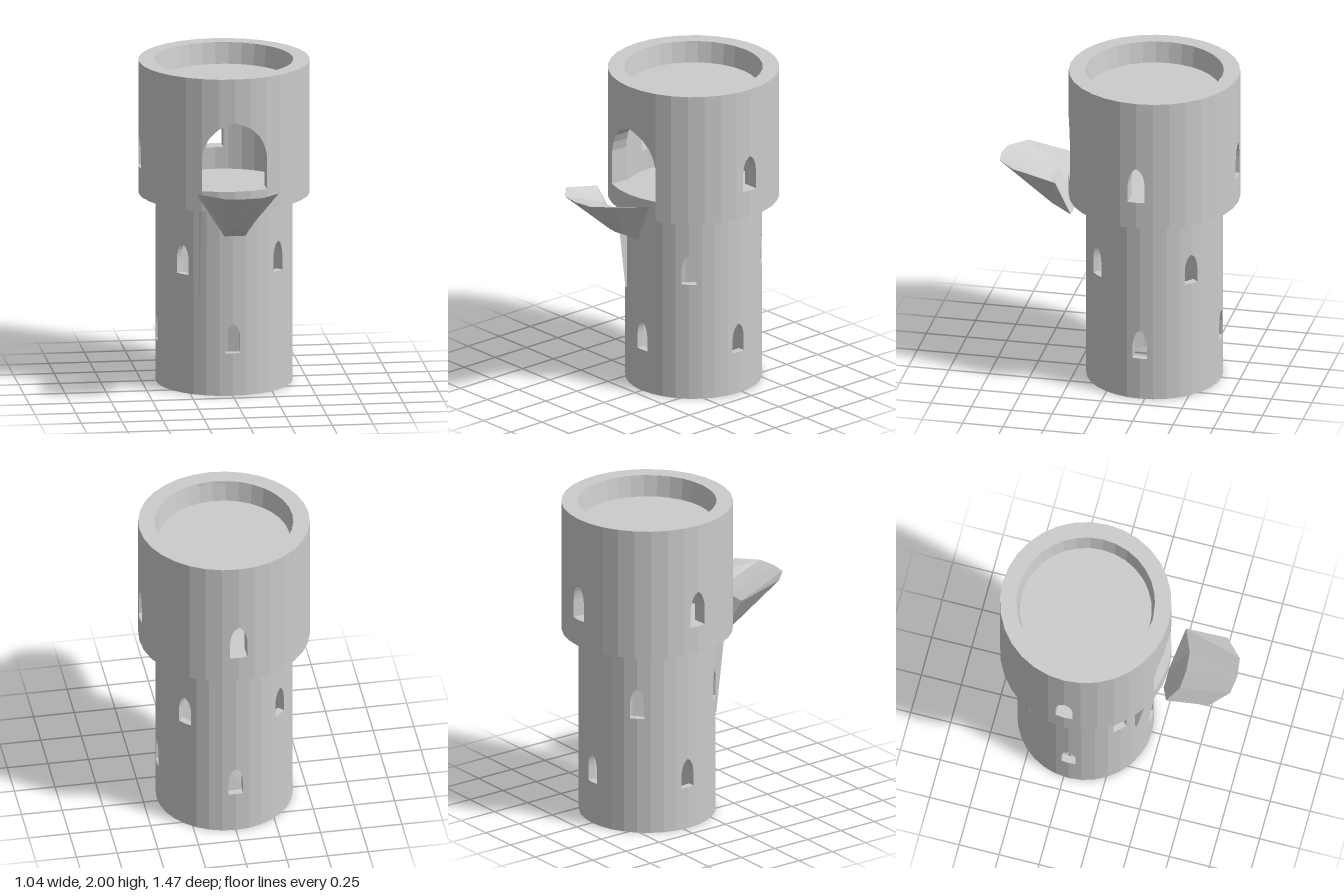
import * as THREE from 'three';

const SIDES = 32, STEP = (Math.PI * 2) / SIDES, CZ = -0.22;
const DEG = Math.PI / 180;
const material = new THREE.MeshStandardMaterial({ color: 0xcccccc, flatShading: true });
const thinMaterial = new THREE.MeshStandardMaterial({ color: 0xcccccc, flatShading: true, side: THREE.DoubleSide });

// Pointed arch: [fraction of half width, fraction of height], from jamb to apex
const ARCH = [[1, 0.5], [0.92, 0.64], [0.78, 0.77], [0.5, 0.9], [0, 1]];

// Collects polygons (corners counter-clockwise from outside) into one mesh
function polygonMesh(name, polygons, mat = material) {
  const pos = [];
  for (const p of polygons) {
    for (let i = 1; i < p.length - 1; i++) pos.push(...p[0], ...p[i], ...p[i + 1]);
  }
  const geo = new THREE.BufferGeometry();
  geo.setAttribute('position', new THREE.Float32BufferAttribute(pos, 3));
  geo.computeVertexNormals();
  const mesh = new THREE.Mesh(geo, mat);
  mesh.name = name;
  return mesh;
}

// Point on a faceted ring of radius r
function ringPoint(a, r, y) {
  const mid = (Math.floor(a / STEP + 1e-6) + 0.5) * STEP;
  const d = r * Math.cos(STEP / 2) / Math.cos(a - mid);
  return [d * Math.sin(a), y, d * Math.cos(a) + CZ];
}

// Hollow faceted wall with arched openings cut straight through
// openings: { angle (degrees), half (half width), lo, hi }
function wall(name, rOut, rIn, y0, y1, openings) {
  const stops = [];
  for (const o of openings) {
    const c = o.angle * DEG;
    const add = (s, f, h) => stops.push({
      out: c + s * Math.asin(f * o.half / rOut),
      inn: c + s * Math.asin(f * o.half / rIn),
      lo: o.lo, hi: o.lo + (o.hi - o.lo) * h, o,
    });
    ARCH.forEach(([f, h]) => { add(-1, f, h); if (f > 0) add(1, f, h); });
  }
  for (let k = 3; k <= SIDES + 3; k++) {
    const a = k * STEP;
    const covered = openings.some(o => Math.abs(a - o.angle * DEG) < Math.asin(o.half / rOut) + 1e-3);
    if (!covered) stops.push({ out: a, inn: a });
  }
  stops.sort((p, q) => p.out - q.out);

  const faces = [];
  const O = (s, y) => ringPoint(s.out, rOut, y), I = (s, y) => ringPoint(s.inn, rIn, y);
  const skin = (p, q, pl, ql, ph, qh) => {
    faces.push([O(p, pl), O(q, ql), O(q, qh), O(p, ph)]);
    faces.push([I(q, ql), I(p, pl), I(p, ph), I(q, qh)]);
  };
  for (let i = 0; i < stops.length - 1; i++) {
    const p = stops[i], q = stops[i + 1];
    faces.push([O(p, y1), O(q, y1), I(q, y1), I(p, y1)]);
    faces.push([I(p, y0), I(q, y0), O(q, y0), O(p, y0)]);
    if (p.o && p.o === q.o) {
      skin(p, q, y0, y0, p.lo, q.lo);
      skin(p, q, p.hi, q.hi, y1, y1);
      faces.push([O(p, p.lo), O(q, q.lo), I(q, q.lo), I(p, p.lo)]); // sill
      faces.push([I(p, p.hi), I(q, q.hi), O(q, q.hi), O(p, p.hi)]); // arch soffit
    } else {
      skin(p, q, y0, y0, y1, y1);
      if (q.o) faces.push([O(q, q.lo), I(q, q.lo), I(q, q.hi), O(q, q.hi)]); // jambs
      if (p.o) faces.push([I(p, p.lo), O(p, p.lo), O(p, p.hi), I(p, p.hi)]);
    }
  }
  return polygonMesh(name, faces);
}

function lathe(name, points) {
  const mesh = new THREE.Mesh(
    new THREE.LatheGeometry(points.map(([r, y]) => new THREE.Vector2(r, y)), SIDES), thinMaterial);
  mesh.name = name;
  mesh.position.z = CZ;
  return mesh;
}

// Faceted spout-like balcony, defined on +x and mirrored
function balcony() {
  const A = [0, 1.36, 0.73], B = [0.115, 1.36, 0.715], C = [0.225, 1.36, 0.61], D = [0.24, 1.3, 0.345];
  const E = [0.065, 1.02, 0.285], F = [0.065, 1.085, 0.4], G = [0, 1.085, 0.41], H = [0, 1.02, 0.285];
  const I = [0.12, 1.24, 0.4], J = [0, 1.24, 0.41];
  const half = [
    [G, F, B, A], [F, C, B], [F, E, D, C], [H, E, F, G], // outside
    [A, B, I, J], [B, C, D, I], [I, D, E], [J, I, E, H], // top and back
  ];
  const mirrored = half.map(f => f.map(([x, y, z]) => [-x, y, z]).reverse());
  return polygonMesh('balcony', [...half, ...mirrored]);
}

export function createModel() {
  const group = new THREE.Group();
  group.name = 'tower';

  // Shaft: two staggered rows of four windows
  const shaftWindows = [];
  for (let i = 1; i <= 4; i++) {
    shaftWindows.push({ angle: i * 90, half: 0.045, lo: 0.265, hi: 0.45 });
    shaftWindows.push({ angle: i * 90 - 45, half: 0.045, lo: 0.74, hi: 0.93 });
  }
  group.add(wall('shaft', 0.415, 0.37, 0, 1.19, shaftWindows));

  // Upper storey: three windows and the front doorway
  const upperOpenings = [90, 180, 270].map(angle => ({ angle, half: 0.053, lo: 1.345, hi: 1.57 }));
  upperOpenings.push({ angle: 360, half: 0.199, lo: 1.3, hi: 1.73 });
  group.add(wall('upperStorey', 0.52, 0.42, 1.175, 2, upperOpenings));

  // Room floor and sunken roof deck
  group.add(lathe('roomFloor', [[0, 1.18], [0.42, 1.18], [0.42, 1.21], [0, 1.21]]));
  group.add(lathe('roofDeck', [[0, 1.83], [0.42, 1.83], [0.4, 1.87], [0, 1.87]]));
  group.add(lathe('parapetLining', [[0.4, 1.87], [0.42, 1.999]]));

  group.add(balcony());

  // Thin fin under the overhang
  group.add(polygonMesh('fin', [[[-0.2, 0.6, 0.14], [-0.2, 0.6, 0.153], [-0.2, 1.175, 0.225], [-0.2, 1.175, 0.14]]], thinMaterial));
  return group;
}
